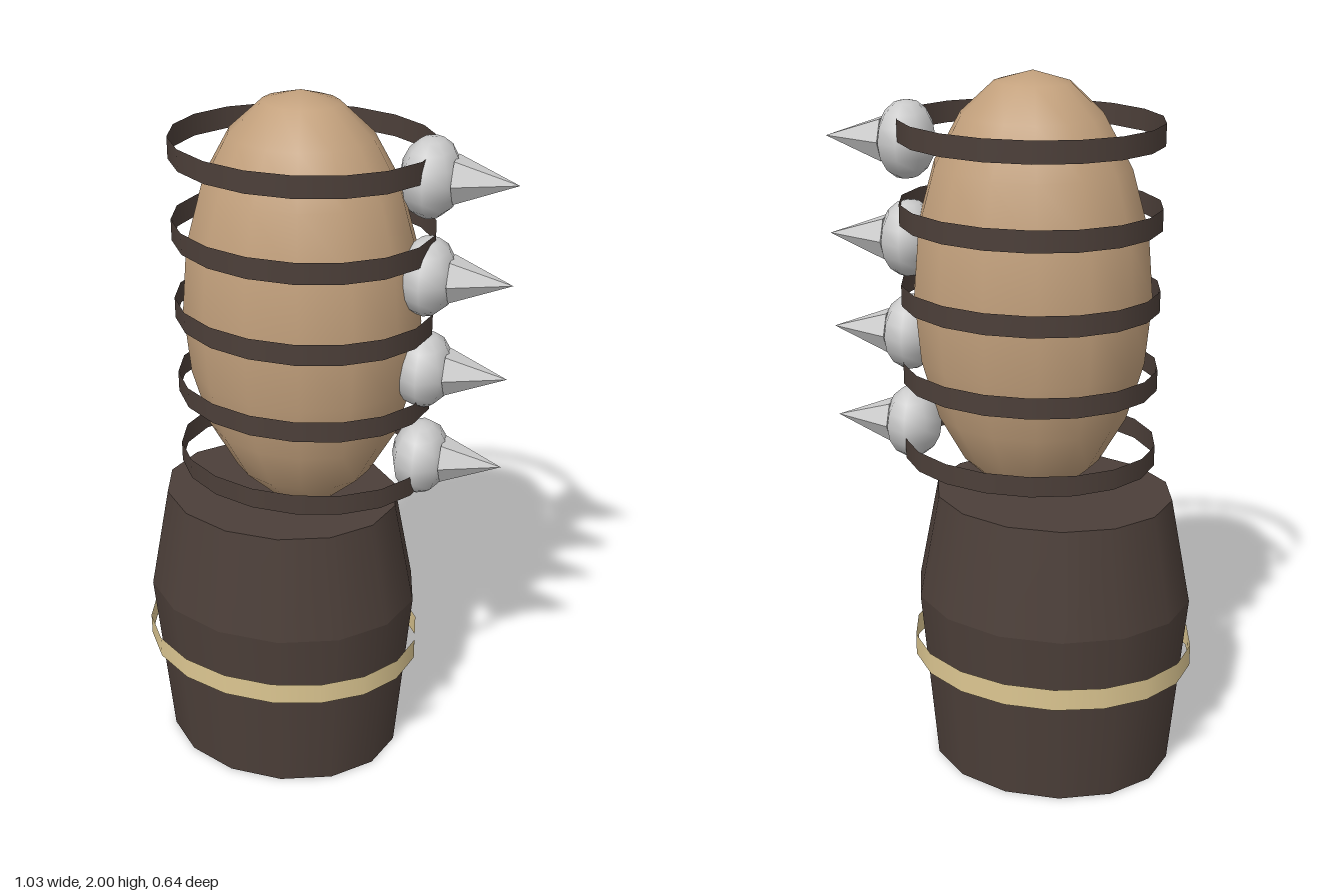
import * as THREE from 'three';

const DARK = 0x4c3f39, TAN = 0xc2a07c, GOLD = 0xdcc691, GREY = 0xcccccc;

function material(color, extra = {}) {
  return new THREE.MeshStandardMaterial({ color, ...extra });
}

function addMesh(parent, name, geometry, mat, x, y) {
  const mesh = new THREE.Mesh(geometry, mat);
  mesh.name = name;
  mesh.position.set(x, y, 0);
  parent.add(mesh);
  return mesh;
}

// Open oval ring with its first vertex on the x axis
function ovalBand(rx, rz, height) {
  return new THREE.CylinderGeometry(1, 1, height, 18, 1, true)
    .rotateY(Math.PI / 2).scale(rx, 1, rz);
}

export function createModel() {
  const group = new THREE.Group();
  const dark = material(DARK);
  const bandMat = material(DARK, { side: THREE.DoubleSide });
  const steel = material(GREY);
  const spikeMat = material(GREY, { flatShading: true });

  // Barrel-shaped cuff: two tapered oval sections, capped at the ends
  const cuff = new THREE.Group();
  cuff.name = 'cuff';
  group.add(cuff);
  const rings = [[0, 0.35], [0.53, 0.395], [0.84, 0.335]];
  for (let i = 0; i < 2; i++) {
    const [y0, r0] = rings[i], [y1, r1] = rings[i + 1];
    const wall = new THREE.CylinderGeometry(r1, r0, y1 - y0, 14, 1, true)
      .rotateY(Math.PI / 2).scale(1, 1, 0.805);
    addMesh(cuff, i ? 'cuffUpper' : 'cuffLower', wall, dark, -0.11, (y0 + y1) / 2);
  }
  for (const [y, r, tilt] of [[0, 0.35, 1], [0.84, 0.335, -1]]) {
    const cap = new THREE.CircleGeometry(r, 14).rotateX(tilt * Math.PI / 2).scale(1, 1, 0.805);
    addMesh(cuff, tilt > 0 ? 'cuffBottom' : 'cuffTop', cap, dark, -0.11, y);
  }

  // Loose belt around the cuff
  addMesh(group, 'belt', ovalBand(0.405, 0.325, 0.065),
    material(GOLD, { side: THREE.DoubleSide }), -0.11, 0.355);

  // Egg-shaped upper body
  addMesh(group, 'upperBody',
    new THREE.SphereGeometry(1, 14, 10).scale(0.325, 0.585, 0.27), material(TAN), -0.045, 1.415);

  // Five straps around the upper body
  for (let i = 0; i < 5; i++) {
    addMesh(group, 'strap' + (i + 1), ovalBand(0.35, 0.282, 0.058), bandMat, -0.04, 0.97 + i * 0.22);
  }

  // Four knuckle studs, each a flattened ball with a six-sided spike
  for (let i = 0; i < 4; i++) {
    const stud = new THREE.Group();
    stud.name = 'stud' + (i + 1);
    stud.position.set(0.292, 1.014 + i * 0.265, 0);
    addMesh(stud, 'studBall', new THREE.SphereGeometry(0.104, 8, 8).scale(0.77, 1, 1), steel, 0, 0);
    const spike = new THREE.ConeGeometry(0.064, 0.16, 6).rotateZ(-Math.PI / 2);
    addMesh(stud, 'studSpike', spike, spikeMat, 0.142, 0);
    group.add(stud);
  }

  return group;
}
